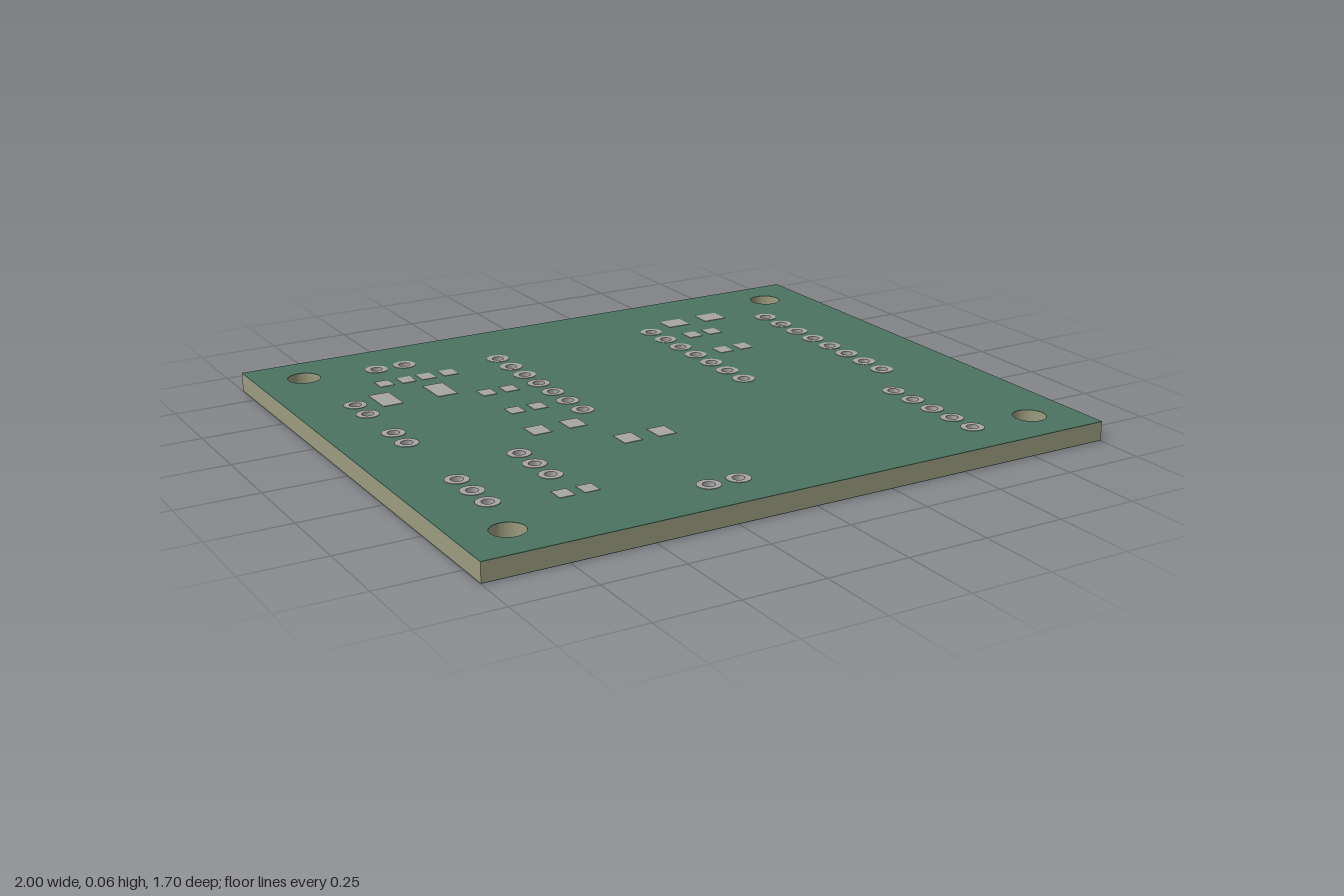
import * as THREE from 'three';
import { toCreasedNormals } from 'three/addons/utils/BufferGeometryUtils.js';

const W = 2, D = 1.7, H = 0.062, PITCH = 0.0942;
const MASK = 0.002, PAD = 0.0015; // layer thicknesses

// Header rows: first hole x, z, number of holes, direction of the row
const rows = [
  ['upperHeader', -0.626, -0.667, 2, 'x'],
  ['socketLeftRow', -0.25, -0.573, 7, 'z'],
  ['socketRightRow', 0.315, -0.573, 7, 'z'],
  ['longHeader', 0.738, -0.526, 8, 'z'],
  ['powerHeader', -0.814, -0.385, 2, 'z'],
  ['sideHeader', -0.814, -0.103, 2, 'z'],
  ['lowerSideHeader', -0.814, 0.321, 3, 'z'],
  ['jumperHeader', -0.579, 0.227, 3, 'z'],
  ['fiveHoleHeader', 0.644, 0.321, 5, 'z'],
  ['lowerHeader', -0.25, 0.697, 2, 'x'],
];

// Surface pad pairs: x of both pads, z, pad width, pad depth
const pairs = [
  ['capacitorPadsA', -0.66, -0.587, -0.526, 0.046, 0.053],
  ['resistorPadsA', -0.521, -0.446, -0.526, 0.046, 0.053],
  ['fusePads', -0.715, -0.537, -0.386, 0.065, 0.114],
  ['resistorPadsB', -0.426, -0.351, -0.291, 0.046, 0.053],
  ['resistorPadsC', -0.426, -0.351, -0.103, 0.046, 0.053],
  ['capacitorPadsB', -0.447, -0.332, 0.085, 0.058, 0.068],
  ['capacitorPadsC', -0.257, -0.146, 0.273, 0.058, 0.07],
  ['resistorPadsD', -0.616, -0.541, 0.556, 0.046, 0.053],
  ['diodePads', 0.434, 0.574, -0.621, 0.077, 0.068],
  ['capacitorPadsD', 0.418, 0.493, -0.48, 0.046, 0.053],
  ['capacitorPadsE', 0.418, 0.493, -0.291, 0.046, 0.053],
];

function rowPoints([, x, z, n, dir]) {
  return Array.from({ length: n }, (_, i) =>
    dir === 'x' ? [x + i * PITCH, z] : [x, z + i * PITCH]);
}

// Board outline with mounting holes and plated holes
function boardShape() {
  const s = new THREE.Shape();
  s.moveTo(-W / 2, -D / 2).lineTo(W / 2, -D / 2).lineTo(W / 2, D / 2).lineTo(-W / 2, D / 2).closePath();
  const hole = (x, z, r) => s.holes.push(new THREE.Path().absarc(x, -z, r, 0, Math.PI * 2, true));
  for (const x of [-0.852, 0.852]) for (const z of [-0.703, 0.703]) hole(x, z, 0.05);
  for (const row of rows) for (const [x, z] of rowPoints(row)) hole(x, z, 0.026);
  return s;
}

export function createModel() {
  const group = new THREE.Group();
  const mat = (color) => new THREE.MeshStandardMaterial({ color });
  const substrateMat = mat(0x9c9c80), maskMat = mat(0x4b7361), metalMat = mat(0xa8a4a4);
  const add = (parent, name, geometry, material, x, y, z) => {
    const m = new THREE.Mesh(geometry, material);
    m.name = name;
    m.position.set(x, y, z);
    parent.add(m);
  };

  // Substrate between two solder mask layers
  const shape = boardShape();
  const layer = (name, y0, y1, material) => {
    const g = new THREE.ExtrudeGeometry(shape, { depth: y1 - y0, bevelEnabled: false, curveSegments: 24 });
    add(group, name, g.rotateX(-Math.PI / 2), material, 0, y0, 0);
  };
  const top = H - PAD, bottom = PAD;
  layer('bottomSolderMask', bottom, bottom + MASK, maskMat);
  layer('substrate', bottom + MASK, top - MASK, substrateMat);
  layer('topSolderMask', top - MASK, top, maskMat);

  // Plated hole: barrel with a flange on each side
  const profile = [
    [0.018, 0], [0.035, 0], [0.035, bottom], [0.026, bottom],
    [0.026, top], [0.035, top], [0.035, H], [0.018, H], [0.018, 0],
  ].map(([r, y]) => new THREE.Vector2(r, y));
  const ring = toCreasedNormals(new THREE.LatheGeometry(profile, 24), 0.6);
  for (const row of rows) {
    const header = new THREE.Group();
    header.name = row[0];
    group.add(header);
    for (const [x, z] of rowPoints(row)) add(header, 'platedHole', ring, metalMat, x, 0, z);
  }

  // Rectangular surface pads
  for (const [name, x0, x1, z, w, d] of pairs) {
    const pair = new THREE.Group();
    pair.name = name;
    group.add(pair);
    const g = new THREE.BoxGeometry(w, PAD, d);
    for (const x of [x0, x1]) add(pair, 'surfacePad', g, metalMat, x, H - PAD / 2, z);
  }
  return group;
}
